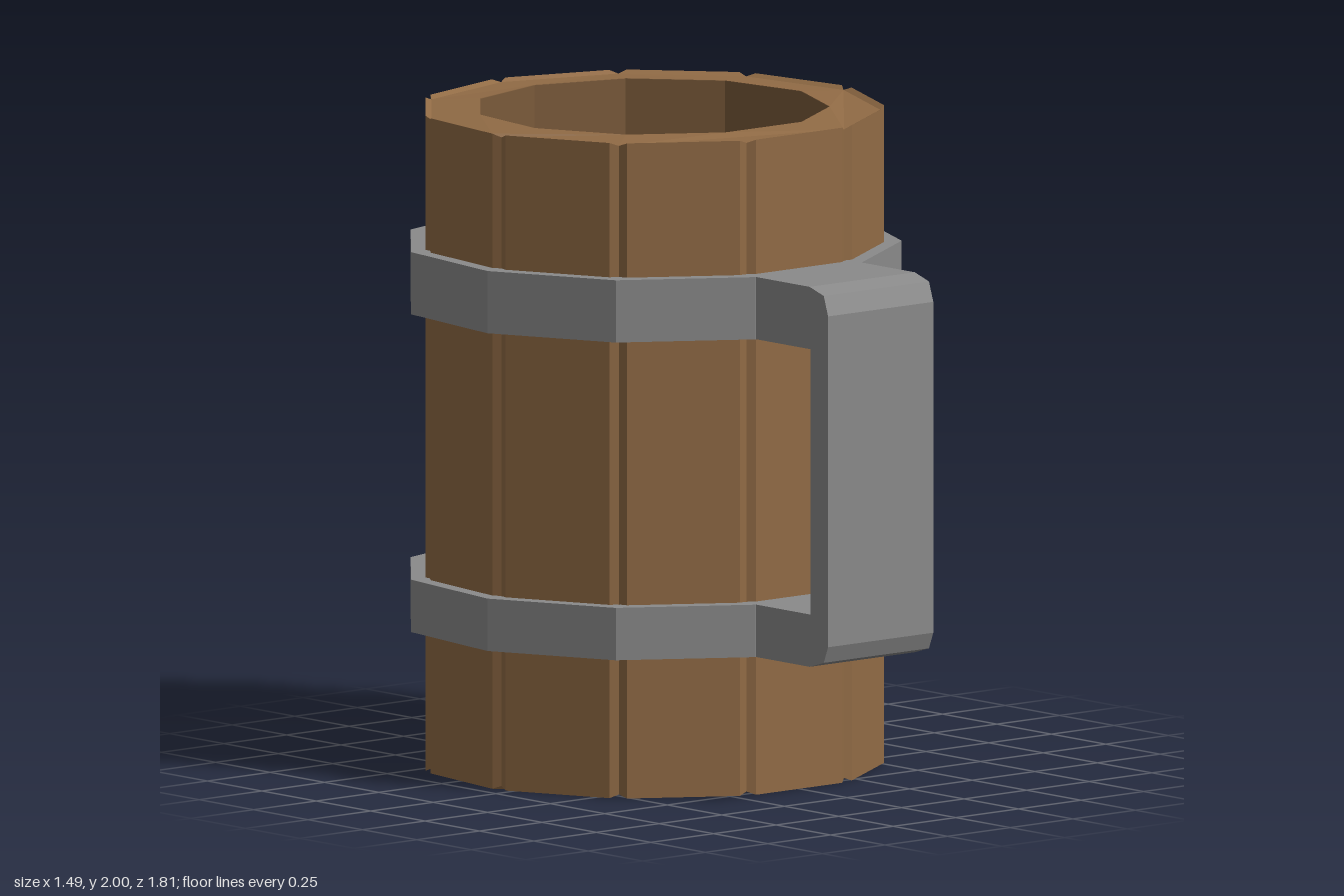
import * as THREE from 'three';

const SIDES = 11;
const CENTRE_Z = -0.15; // axis of the barrel
const STEP = (Math.PI * 2) / SIDES;

const mat = (color, side = THREE.FrontSide) =>
  new THREE.MeshStandardMaterial({ color, side, flatShading: true });

// Corner k of the polygon, with corner 0 at the back
const corner = (r, k) => {
  const a = Math.PI / 2 + k * STEP;
  return new THREE.Vector2(r * Math.cos(a), r * Math.sin(a));
};
const polygon = (r) => Array.from({ length: SIDES }, (_, k) => corner(r, k));

// Upright prism with an optional polygonal hole
function prism(points, holeRadius, y0, y1) {
  const shape = new THREE.Shape(points);
  if (holeRadius) shape.holes.push(new THREE.Path(polygon(holeRadius).reverse()));
  const geo = new THREE.ExtrudeGeometry(shape, { depth: y1 - y0, bevelEnabled: false });
  return geo.rotateX(-Math.PI / 2).translate(0, y0, CENTRE_Z);
}

export function createModel() {
  const model = new THREE.Group();
  const wood = mat(0x916b45);
  const darkWood = mat(0x7a5a3a);
  const metal = mat(0x8a8a8a);

  const add = (name, geometry, material) => {
    const mesh = new THREE.Mesh(geometry, material);
    mesh.name = name;
    model.add(mesh);
    return mesh;
  };

  // Staves: flat faces with a shallow V groove at each corner
  const R = 0.709, GROOVE = 0.69;
  const outline = [];
  for (let k = 0; k < SIDES; k++) {
    const c = corner(R, k);
    outline.push(
      c.clone().lerp(corner(R, k - 1), 0.07),
      corner(GROOVE, k),
      c.clone().lerp(corner(R, k + 1), 0.07)
    );
  }
  const barrel = prism(outline, 0.538, 0, 2);
  const pos = barrel.attributes.position;
  for (let i = 0; i < pos.count; i++) {
    // Nick the groove ends slightly
    const r = Math.hypot(pos.getX(i), pos.getZ(i) - CENTRE_Z);
    if (Math.abs(r - GROOVE) < 0.002) pos.setY(i, pos.getY(i) > 1 ? 1.99 : 0.01);
  }
  barrel.computeVertexNormals();
  add('staves', barrel, wood);

  // Floor, leaving a recess underneath
  add('floor', prism(polygon(0.538), 0, 0.16, 0.24), darkWood);

  // Dark inner wall
  const lining = new THREE.CylinderGeometry(0.536, 0.536, 1.758, SIDES, 1, true, Math.PI);
  lining.translate(0, 1.12, CENTRE_Z);
  add('innerWall', lining, mat(0x7a5a3a, THREE.BackSide));

  // Metal hoops
  add('upperHoop', prism(polygon(0.755), 0.695, 1.4, 1.59), metal);
  add('lowerHoop', prism(polygon(0.755), 0.695, 0.43, 0.59), metal);

  // Handle: C-shaped strap with clipped corners, drawn as (z, y)
  const strap = new THREE.Shape([
    [0.55, 0.43], [0.82, 0.43], [0.885, 0.45], [0.905, 0.5],
    [0.905, 1.51], [0.885, 1.57], [0.82, 1.59], [0.55, 1.59],
    [0.55, 1.4], [0.825, 1.4], [0.825, 0.59], [0.55, 0.59],
  ].map(([z, y]) => new THREE.Vector2(z, y)));
  const handle = new THREE.ExtrudeGeometry(strap, { depth: 0.42, bevelEnabled: false });
  handle.translate(0, 0, -0.21).rotateY(-Math.PI / 2);
  add('handle', handle, metal);

  return model;
}
